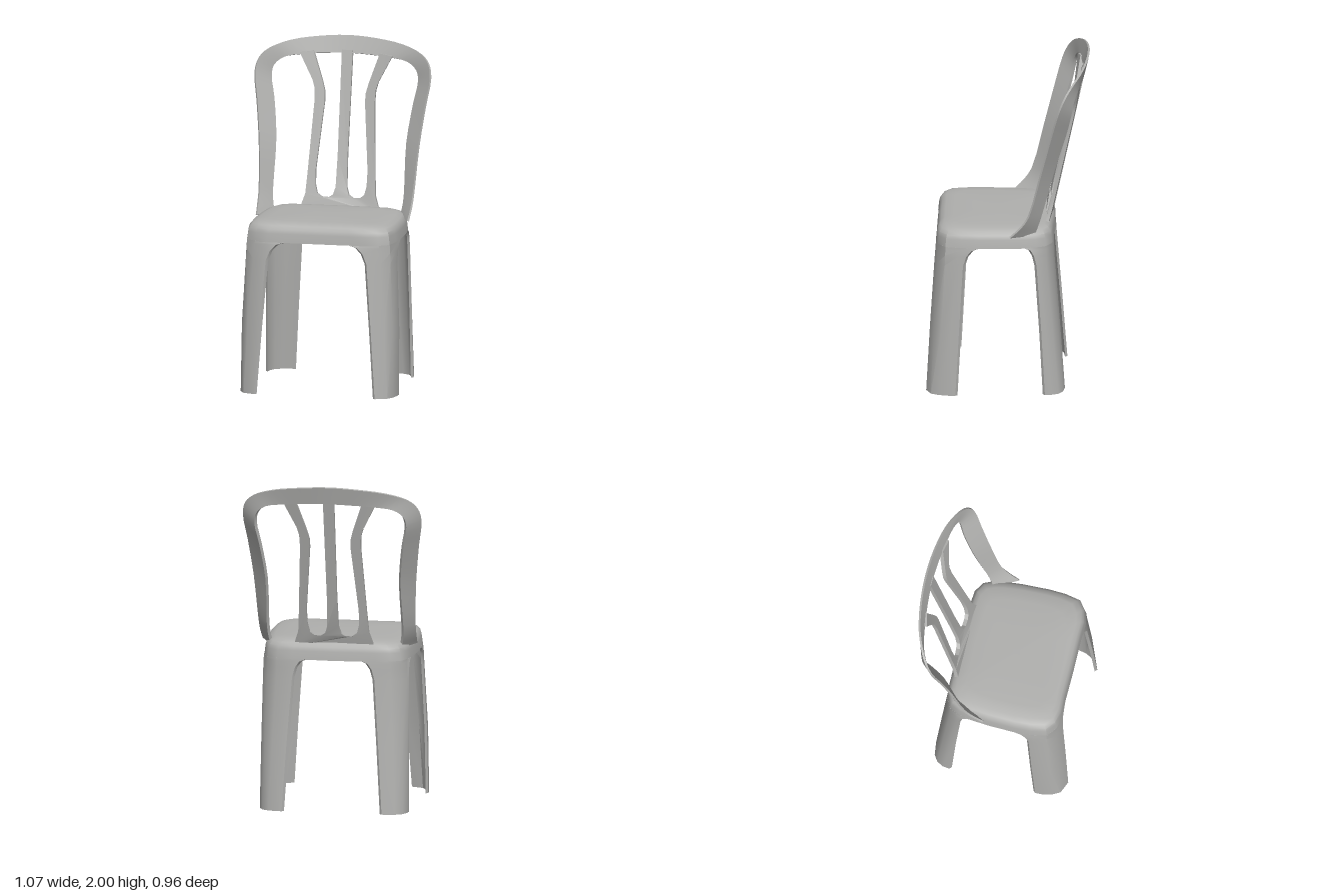
import * as THREE from 'three';
import { toCreasedNormals } from 'three/addons/utils/BufferGeometryUtils.js';

const plastic = new THREE.MeshStandardMaterial({ color: 0xb0b0ae, side: THREE.DoubleSide });
plastic.name = 'grey plastic';

// Skins a row of closed loops of Vector3; capped loops run out along one face and back along the other.
function loft(loops, capped) {
  const n = loops[0].length, tris = [];
  const quad = (a, b, c, d) => tris.push([a, b, c], [a, c, d]);
  for (let r = 0; r < loops.length - 1; r++)
    for (let i = 0; i < n; i++) {
      const j = (i + 1) % n;
      quad(loops[r][i], loops[r][j], loops[r + 1][j], loops[r + 1][i]);
    }
  if (capped) {
    const first = loops[0], last = loops[loops.length - 1];
    for (let i = 0; i < n / 2 - 1; i++) {
      const k = n - 1 - i;
      quad(first[i], first[k], first[k - 1], first[i + 1]);
      quad(last[i], last[i + 1], last[k - 1], last[k]);
    }
  }
  // Turn the skin outward if its signed volume is negative
  let volume = 0;
  const cross = new THREE.Vector3();
  for (const [a, b, c] of tris) volume += a.dot(cross.crossVectors(b, c));
  const solid = tris.filter((t) => new THREE.Triangle(...t).getArea() > 1e-9);
  const points = solid.flatMap(([a, b, c]) => (volume < 0 ? [a, c, b] : [a, b, c]));
  const geometry = new THREE.BufferGeometry().setFromPoints(points);
  return toCreasedNormals(geometry, 0.65);
}

function part(name, geometry) {
  const mesh = new THREE.Mesh(geometry, plastic);
  mesh.name = name;
  return mesh;
}

// Domed seat with a rounded edge and a hollow underside
function seat() {
  const half = [
    [0, 0.418], [0.2, 0.416], [0.3, 0.42], [0.375, 0.405], [0.432, 0.36], [0.45, 0.27], [0.455, 0.17],
    [0.45, 0], [0.438, -0.12], [0.425, -0.18], [0.4, -0.235], [0.34, -0.27], [0.25, -0.277],
    [0.18, -0.277], [0, -0.285],
  ];
  const outline = [...half, ...half.slice(1, -1).reverse().map(([x, z]) => [-x, z])];
  const rings = [
    [0, 1.03], [0.4, 1.028], [0.7, 1.024], [0.86, 1.018], [0.93, 1.006], [0.97, 0.985], [0.985, 0.96],
    [1, 0.908], [0.965, 0.908], [0.95, 0.97], [0.9, 0.995], [0, 1.01],
  ];
  const zc = 0.07;
  return loft(rings.map(([s, y]) => outline.map(([x, z]) => new THREE.Vector3(x * s, y, zc + (z - zc) * s))), false);
}

// Leg rows: height, then the cross-section from the inner edge round the corner to the side edge
const frontRows = [
  [0, [0.365, 0.475], [0.436, 0.446], [0.462, 0.4], [0.475, 0.34], [0.476, 0.3]],
  [0.4, [0.337, 0.453], [0.415, 0.43], [0.456, 0.385], [0.471, 0.325], [0.472, 0.278]],
  [0.8, [0.305, 0.427], [0.385, 0.408], [0.438, 0.363], [0.454, 0.29], [0.456, 0.255]],
  [0.86, [0.28, 0.422], [0.38, 0.406], [0.435, 0.361], [0.453, 0.28], [0.456, 0.235]],
  [0.895, [0.245, 0.42], [0.377, 0.405], [0.433, 0.36], [0.451, 0.274], [0.456, 0.205]],
  [0.912, [0.19, 0.416], [0.375, 0.405], [0.432, 0.36], [0.45, 0.27], [0.455, 0.16]],
];
const backRows = [
  [0, [0.3, -0.345], [0.38, -0.335], [0.42, -0.31], [0.442, -0.27], [0.447, -0.23]],
  [0.4, [0.275, -0.315], [0.362, -0.306], [0.412, -0.275], [0.437, -0.235], [0.443, -0.208]],
  [0.8, [0.247, -0.283], [0.343, -0.274], [0.402, -0.239], [0.428, -0.195], [0.437, -0.18]],
  [0.86, [0.23, -0.28], [0.341, -0.272], [0.401, -0.237], [0.426, -0.188], [0.437, -0.165]],
  [0.895, [0.205, -0.278], [0.34, -0.271], [0.4, -0.236], [0.425, -0.184], [0.438, -0.145]],
  [0.912, [0.165, -0.278], [0.34, -0.27], [0.4, -0.235], [0.425, -0.18], [0.44, -0.11]],
];

// Thin open channel, curving into the seat skirt at the top
function leg(rows, side, front) {
  const t = 0.013;
  return loft(rows.map(([y, ...section]) => {
    const outer = section.map(([x, z]) => new THREE.Vector3(side * x, y, z));
    const inner = section.map(([x, z]) => new THREE.Vector3(side * (x - t), y, z - front * t)).reverse();
    return [...outer, ...inner];
  }), true);
}

// Arched band around the back, defined by its outer and inner edges
function backFrame() {
  const outerHalf = [
    [0.455, 0.985, -0.02], [0.46, 1.05, -0.085], [0.463, 1.12, -0.13], [0.48, 1.4, -0.205],
    [0.506, 1.63, -0.265], [0.528, 1.79, -0.31], [0.51, 1.87, -0.345], [0.46, 1.92, -0.38],
    [0.34, 1.965, -0.43], [0.17, 1.99, -0.463], [0, 2, -0.473],
  ];
  const innerHalf = [
    [0.38, 0.985, -0.16], [0.392, 1.05, -0.18], [0.396, 1.12, -0.2], [0.393, 1.4, -0.275],
    [0.42, 1.63, -0.345], [0.443, 1.76, -0.375], [0.43, 1.82, -0.385], [0.375, 1.865, -0.402],
    [0.27, 1.885, -0.42], [0.14, 1.895, -0.435], [0, 1.9, -0.442],
  ];
  const edge = (half) => new THREE.CatmullRomCurve3(
    [...half, ...half.slice(0, -1).reverse().map(([x, y, z]) => [-x, y, z])].map((p) => new THREE.Vector3(...p)));
  const outer = edge(outerHalf), inner = edge(innerHalf), loops = [], steps = 60;
  for (let i = 0; i <= steps; i++) {
    const o = outer.getPoint(i / steps), n = inner.getPoint(i / steps);
    const back = outer.getTangent(i / steps).cross(n.clone().sub(o)).normalize().multiplyScalar(-0.02);
    loops.push([o, n, n.clone().add(back), o.clone().addScaledVector(back, 0.6)]);
  }
  return loft(loops, true);
}

// Three slats rising from one base panel, bent to the lean and curve of the back
function slats() {
  const half = [
    [0.033, 1.915], [0.03, 1.3], [0.034, 1.12], [0.048, 1.075], [0.075, 1.057], [0.115, 1.06],
    [0.142, 1.08], [0.155, 1.13], [0.157, 1.22], [0.122, 1.62], [0.124, 1.67], [0.14, 1.73],
    [0.2, 1.905], [0.28, 1.895], [0.2, 1.74], [0.185, 1.69], [0.182, 1.62], [0.204, 1.2],
    [0.212, 1.08], [0.245, 0.98],
  ];
  const outline = [...half, ...half.map(([x, y]) => [-x, y]).reverse()];
  const shape = new THREE.Shape(outline.map((p) => new THREE.Vector2(...p)));
  const geometry = new THREE.ExtrudeGeometry(shape, { depth: 0.022, bevelEnabled: false });
  const pos = geometry.attributes.position;
  for (let i = 0; i < pos.count; i++) {
    const x = pos.getX(i), y = pos.getY(i);
    pos.setZ(i, pos.getZ(i) - 0.268 - 0.215 * (y - 1) + 0.4 * x * x);
  }
  return toCreasedNormals(geometry, 0.5);
}

export function createModel() {
  const chair = new THREE.Group();
  chair.name = 'chair';
  chair.add(part('seat', seat()), part('backFrame', backFrame()), part('backSlats', slats()));
  for (const [side, label] of [[1, 'Left'], [-1, 'Right']]) {
    chair.add(part('frontLeg' + label, leg(frontRows, side, 1)));
    chair.add(part('backLeg' + label, leg(backRows, side, -1)));
  }
  return chair;
}
